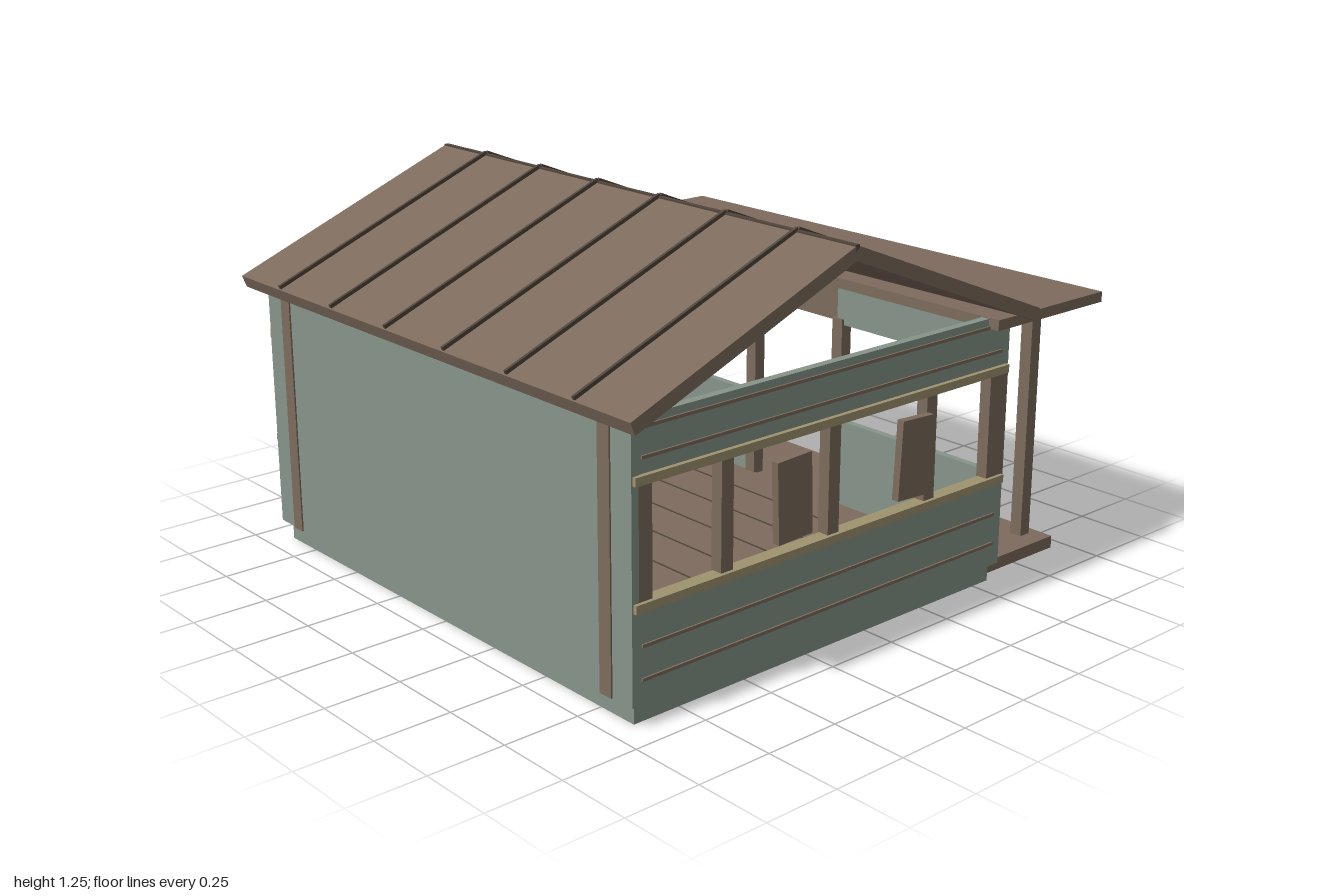
import * as THREE from 'three';

const mat = (name, color) => {
  const m = new THREE.MeshStandardMaterial({ color });
  m.name = name;
  return m;
};

export function createModel() {
  const green = mat('sage paint', 0x87958a);
  const brown = mat('weathered wood', 0x7d6b5d);
  const dark = mat('dark seam', 0x51463d);
  const tan = mat('pale trim', 0xa0946f);
  const model = new THREE.Group();
  model.name = 'cabin';

  // Box given by its minimum and maximum on each axis
  const box = (name, m, [x0, x1], [y0, y1], [z0, z1], parent = model) => {
    const mesh = new THREE.Mesh(new THREE.BoxGeometry(x1 - x0, y1 - y0, z1 - z0), m);
    mesh.position.set((x0 + x1) / 2, (y0 + y1) / 2, (z0 + z1) / 2);
    mesh.name = name;
    parent.add(mesh);
    return mesh;
  };
  // Range on the given side of the centre plane
  const side = (s, a, b) => (s > 0 ? [a, b] : [-b, -a]);

  // Foundation and plank floor
  box('foundation', green, [-0.89, 0.89], [0, 0.06], [-0.57, 0.915]);
  box('floor', brown, [-0.885, 0.885], [0.06, 0.07], [-0.57, 0.91]);
  for (let z = -0.42; z < 0.9; z += 0.165) {
    box('floorSeam', dark, [-0.885, 0.885], [0.069, 0.072], [z - 0.003, z + 0.003]);
  }

  // Solid front wall
  box('frontWall', green, [-0.915, 0.915], [0.065, 0.89], [0.915, 0.94]);

  for (const s of [1, -1]) {
    box('frontBatten', brown, side(s, 0.78, 0.83), [0.065, 0.89], [0.938, 0.945]);

    // Side walls with an open window band
    const wall = new THREE.Group();
    wall.name = s > 0 ? 'leftWall' : 'rightWall';
    model.add(wall);
    const wx = side(s, 0.885, 0.912);
    box('lowerWall', green, wx, [0.062, 0.345], [-0.592, 0.925], wall);
    box('upperWall', green, wx, [0.73, 0.893], [-0.592, 0.925], wall);
    for (const y of [0.14, 0.24, 0.78, 0.865]) {
      box('sidingGroove', brown, side(s, 0.91, 0.918), [y - 0.005, y + 0.005], [-0.555, 0.905], wall);
    }
    for (const y of [0.357, 0.72]) {
      box('windowTrim', tan, side(s, 0.88, 0.927), [y - 0.013, y + 0.013], [-0.58, 0.935], wall);
    }
    for (const [z, w] of [[0.893, 0.05], [0.595, 0.045], [0.175, 0.045], [-0.24, 0.045], [-0.55, 0.08]]) {
      box('windowPost', brown, side(s, 0.875, 0.915), [0.365, 0.712], [z - w / 2, z + w / 2], wall);
    }
    // Slightly crooked hanging shutters
    for (const z of [0.355, -0.15]) {
      const shutter = box('shutter', brown, side(s, 0.913, 0.938), [0.407, 0.657], [z - 0.067, z + 0.067], wall);
      shutter.rotation.x = s * (z > 0 ? 0.04 : -0.05);
    }

    // Back wall panels beside the doorway
    box('backLowerPanel', green, side(s, 0.2, 0.905), [0.065, 0.37], [-0.595, -0.57]);
    box('backUpperPanel', green, side(s, 0.2, 0.905), [0.71, 0.893], [-0.595, -0.57]);
    box('doorPost', brown, side(s, 0.185, 0.23), [0.065, 0.73], [-0.605, -0.562]);

    // Porch posts
    box('porchPost', brown, side(s, 0.782, 0.825), [0.06, 0.862], [-0.858, -0.815]);
  }

  // Door header, porch deck, porch roof and blank hanging board
  box('doorHeader', brown, [-0.2, 0.2], [0.72, 0.89], [-0.59, -0.572]);
  box('porchDeck', brown, [-0.89, 0.89], [0.025, 0.066], [-0.895, -0.565]);
  box('porchRoof', brown, [-0.95, 0.95], [0.862, 0.896], [-1, -0.49]);
  box('hangingBoard', tan, [-0.23, 0.23], [0.745, 0.845], [-0.866, -0.856]);

  // Pitched roof with raised seams
  const pitch = 0.382, length = 0.885;
  for (const s of [1, -1]) {
    const slope = new THREE.Group();
    slope.name = s > 0 ? 'frontRoofSlope' : 'backRoofSlope';
    slope.position.set(0, 1.243, 0.175);
    slope.rotation.x = s * pitch;
    model.add(slope);
    box('roofSlab', brown, [-0.98, 0.98], [-0.042, 0], side(s, 0.004, length), slope);
    for (const x of [-0.745, -0.447, -0.149, 0.149, 0.447, 0.745]) {
      box('roofSeam', dark, [x - 0.005, x + 0.005], [-0.005, 0.012], side(s, 0, length - 0.005), slope);
    }
  }
  box('ridgeCap', dark, [-0.98, 0.98], [1.225, 1.245], [0.167, 0.183]);

  return model;
}
